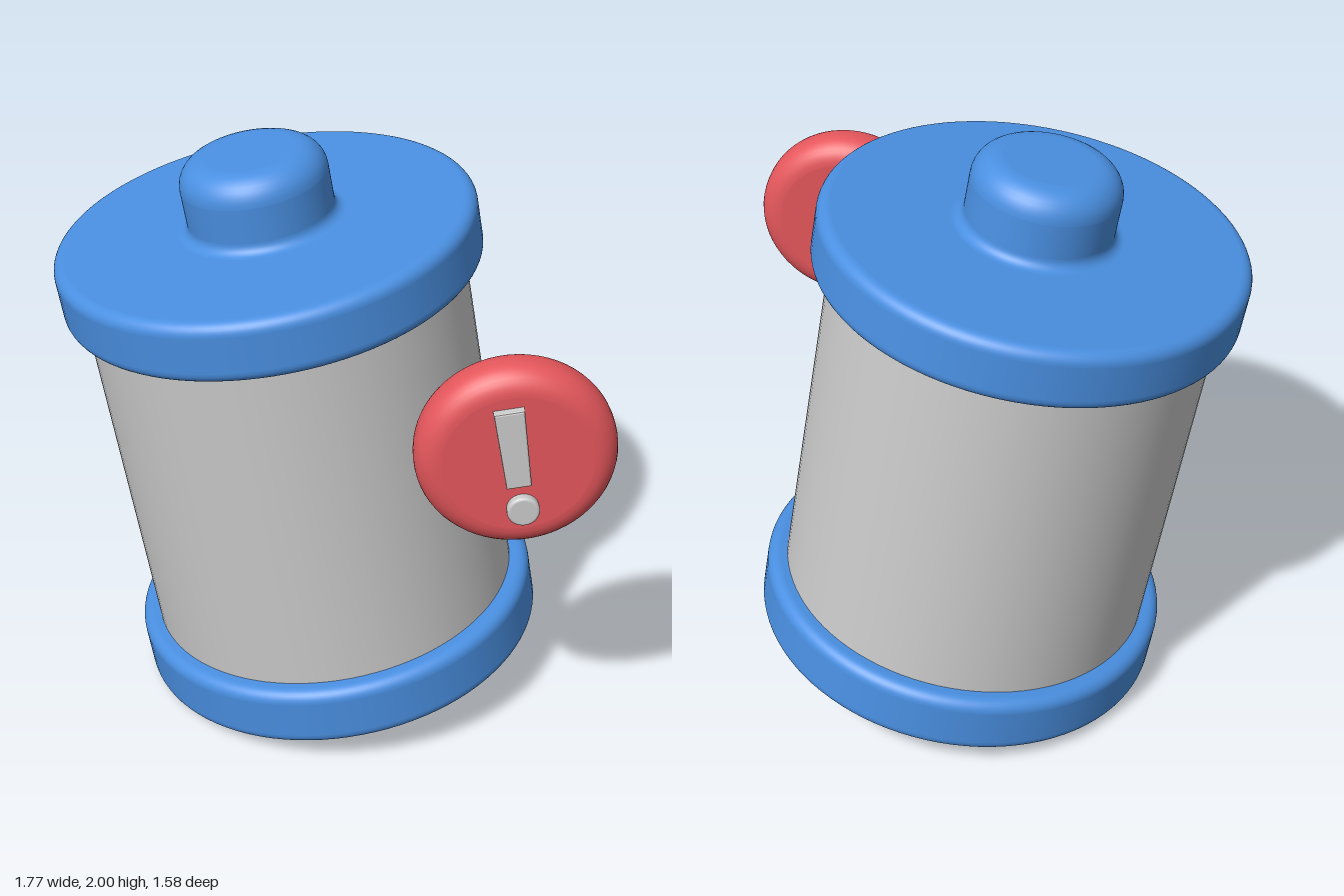
import * as THREE from 'three';

const blue = new THREE.MeshStandardMaterial({ color: 0x4a90e2 });
const red = new THREE.MeshStandardMaterial({ color: 0xe5575c });
const grey = new THREE.MeshStandardMaterial({ color: 0xcccccc });

// Turned solid from profile corners [radius, height, fillet], bottom to top
function turned(corners, segments = 96) {
  const v = corners.map(([x, y]) => new THREE.Vector2(x, y));
  const points = [];
  corners.forEach(([, , fillet], i) => {
    if (!fillet) return points.push(v[i]);
    const a = v[i - 1].clone().sub(v[i]).normalize();
    const b = v[i + 1].clone().sub(v[i]).normalize();
    const start = v[i].clone().addScaledVector(a, fillet);
    const end = v[i].clone().addScaledVector(b, fillet);
    // support points beside each arc keep the flats shading flat
    points.push(start.clone().addScaledVector(a, 0.002));
    const steps = 8;
    for (let k = 0; k <= steps; k++) {
      const t = (k / steps) * Math.PI / 2;
      points.push(v[i].clone()
        .addScaledVector(a, fillet * (1 - Math.sin(t)))
        .addScaledVector(b, fillet * (1 - Math.cos(t))));
    }
    points.push(end.clone().addScaledVector(b, 0.002));
  });
  return new THREE.LatheGeometry(points, segments);
}

const disc = (radius, y0, y1, fillet, segments) => turned(
  [[0, y0], [radius, y0, fillet], [radius, y1, fillet], [0, y1]], segments);

function add(parent, name, geometry, material) {
  const mesh = new THREE.Mesh(geometry, material);
  mesh.name = name;
  parent.add(mesh);
  return mesh;
}

export function createModel() {
  const model = new THREE.Group();
  model.name = 'batteryWarning';

  // Leaning battery
  const battery = new THREE.Group();
  battery.name = 'battery';
  battery.position.set(0.071, 0.11, -0.085);
  battery.rotation.z = 0.166;
  model.add(battery);

  add(battery, 'bottomCap', disc(0.705, 0, 0.216, 0.04), blue);
  const body = add(battery, 'body', new THREE.CylinderGeometry(0.64, 0.64, 1.4, 96, 1, true), grey);
  body.position.y = 0.83;

  // Top cap with its terminal knob, blended by a small cove
  add(battery, 'topCap', turned([
    [0, 1.435], [0.705, 1.435, 0.04], [0.705, 1.643, 0.04],
    [0.245, 1.643, 0.035], [0.245, 1.889, 0.09], [0, 1.889],
  ]), blue);

  // Round warning badge facing forward
  const badge = new THREE.Group();
  badge.name = 'warningBadge';
  badge.position.set(0.57, 1.305, 0.58);
  model.add(badge);

  add(badge, 'badgeDisc', disc(0.315, 0, 0.182, 0.08, 64), red).rotation.x = Math.PI / 2;

  // Tapered bar and dot of the warning mark
  const mark = new THREE.Group();
  mark.name = 'warningMark';
  mark.position.set(-0.017, 0.063, 0.16);
  mark.rotation.z = 0.16;
  badge.add(mark);

  const bevel = 0.006;
  const barShape = new THREE.Shape([
    [-0.033, -0.128], [0.033, -0.128], [0.041, 0.128], [-0.041, 0.128],
  ].map(([x, y]) => new THREE.Vector2(x, y)));
  const bar = add(mark, 'bar', new THREE.ExtrudeGeometry(barShape, {
    depth: 0.038, bevelSize: bevel, bevelThickness: bevel, bevelSegments: 2,
  }), grey);
  bar.position.z = bevel;

  const dot = add(mark, 'dot', disc(0.051, 0, 0.05, 0.01, 32), grey);
  dot.rotation.x = Math.PI / 2;
  dot.position.set(0.003, -0.225, 0);

  return model;
}
